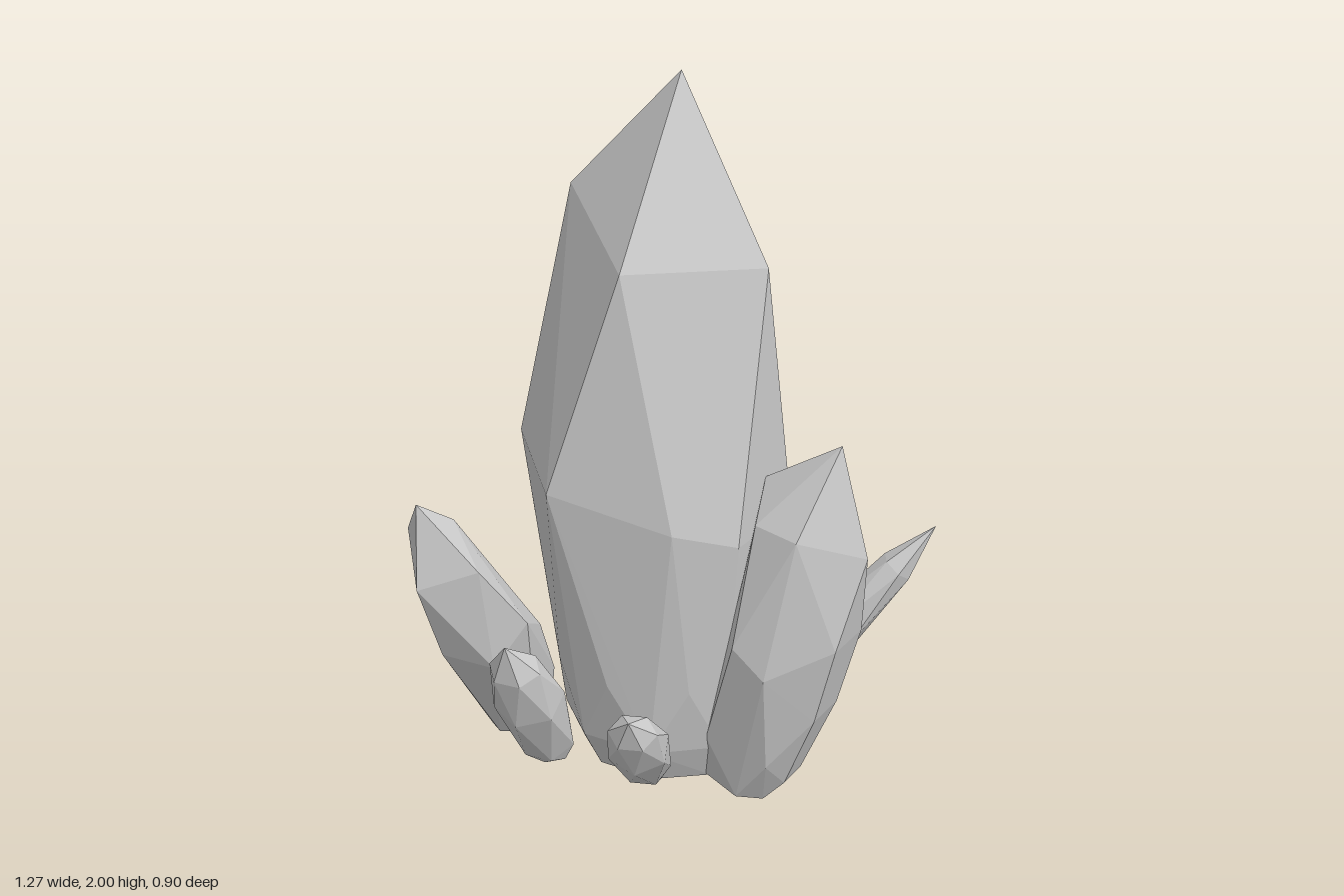
import * as THREE from 'three';
import { ConvexGeometry } from 'three/addons/geometries/ConvexGeometry.js';

const V = (x, y, z) => new THREE.Vector3(x, y, z);

export function createModel() {
  const group = new THREE.Group();
  const material = new THREE.MeshStandardMaterial({ color: 0xcccccc, flatShading: true });

  const addHull = (name, points) => {
    const mesh = new THREE.Mesh(new ConvexGeometry(points), material);
    mesh.name = name;
    group.add(mesh);
  };

  // Leaning shard: rings [t along axis, radius in lean plane, radius across, turn in steps]
  const addShard = (name, base, tip, rings, sides = 6) => {
    const axis = tip.clone().sub(base).normalize();
    const across = V(0, 1, 0).cross(axis).normalize();
    const outward = across.clone().cross(axis).normalize();
    const points = [tip];
    for (const [t, ru, rv, turn] of rings) {
      const center = base.clone().lerp(tip, t);
      for (let i = 0; i < sides; i++) {
        const a = ((i + turn) / sides) * Math.PI * 2;
        points.push(center.clone()
          .addScaledVector(outward, ru * Math.cos(a))
          .addScaledVector(across, rv * Math.sin(a)));
      }
    }
    addHull(name, points);
  };

  // Main crystal: tip, uneven shoulder, wide belt, narrowing foot
  const main = [
    V(0.05, 2, -0.02),
    V(-0.3, 1.67, -0.03), V(0.31, 1.52, -0.02), V(0.04, 1.53, 0.265),
    V(-0.12, 1.58, -0.285), V(0.08, 1.58, -0.275),
    V(-0.14, 0.93, 0.348), V(-0.372, 1.0, 0.13), V(-0.355, 1.0, -0.17), V(-0.14, 0.93, -0.388),
    V(0.165, 0.95, -0.32), V(0.318, 0.8, -0.17), V(0.318, 0.8, 0.13), V(0.19, 0.85, 0.258),
  ];
  for (const [y, rx, rz, turn] of [[0.36, 0.3, 0.275, 0], [0.16, 0.28, 0.25, 0.5], [0.045, 0.23, 0.19, 0.5]]) {
    for (let i = 0; i < 8; i++) {
      const a = ((i + turn) / 8) * Math.PI * 2;
      main.push(V(-0.01 + rx * Math.cos(a), y, -0.01 + rz * Math.sin(a)));
    }
  }
  addHull('mainCrystal', main);

  // Left crystal: tip and ridges, then front/back pairs about its middle plane
  const left = [V(0.535, 1.08, -0.02), V(0.62, 0.78, -0.02), V(0.315, 0.95, -0.02)];
  for (const [x, y, dz] of [
    [0.485, 0.85, 0.15], [0.35, 0.86, 0.12], [0.33, 0.53, 0.2], [0.42, 0.45, 0.19], [0.575, 0.53, 0.08],
    [0.515, 0.3, 0.07], [0.4, 0.15, 0.125], [0.22, 0.2, 0.14],
    [0.42, 0.07, 0.05], [0.36, 0.005, 0.06], [0.3, 0.02, 0.11], [0.17, 0.06, 0.09],
  ]) left.push(V(x, y, -0.02 + dz), V(x, y, -0.02 - dz));
  addHull('leftCrystal', left);

  // Right front crystal: tip, shoulder, belt, lower body, foot
  addHull('rightFrontCrystal', [
    V(-0.52, 0.845, 0.42),
    V(-0.64, 0.71, 0.315), V(-0.51, 0.6, 0.448), V(-0.37, 0.65, 0.35), V(-0.48, 0.77, 0.31),
    V(-0.62, 0.4, 0.24), V(-0.58, 0.42, 0.13), V(-0.47, 0.36, 0.06), V(-0.36, 0.38, 0.08),
    V(-0.29, 0.47, 0.24), V(-0.51, 0.36, 0.35), V(-0.36, 0.34, 0.31),
    V(-0.56, 0.2, 0.13), V(-0.48, 0.2, 0), V(-0.37, 0.2, 0), V(-0.46, 0.15, 0.22), V(-0.33, 0.16, 0.16),
    V(-0.545, 0.075, 0.09), V(-0.48, 0.07, 0.01), V(-0.37, 0.07, 0.02),
    V(-0.46, 0.035, 0.16), V(-0.36, 0.045, 0.12), V(-0.5, 0.04, 0.14),
  ]);

  // Slender crystals and small shards: name, base, tip, thickness
  const shards = [
    ['frontShardRight', V(-0.265, 0.045, 0.17), V(-0.235, 0.49, 0.425), 0.105],
    ['frontShardLeft', V(0.06, 0.08, 0.17), V(0.165, 0.38, 0.435), 0.09],
    ['backLeftCrystal', V(0.18, 0.09, -0.195), V(0.635, 0.72, -0.445), 0.08],
    ['backRightCrystal', V(-0.15, 0.09, -0.15), V(-0.455, 0.6, -0.445), 0.09],
    ['backShard', V(0, 0.07, -0.18), V(-0.02, 0.34, -0.32), 0.06],
  ];
  for (const [name, base, tip, r] of shards) {
    addShard(name, base, tip, [
      [0, r * 0.5, r * 0.6, 0], [0.1, r * 0.75, r * 0.8, 0.5],
      [0.5, r * 0.9, r, 0], [0.8, r * 0.6, r * 0.75, 0.5],
    ]);
  }
  return group;
}
